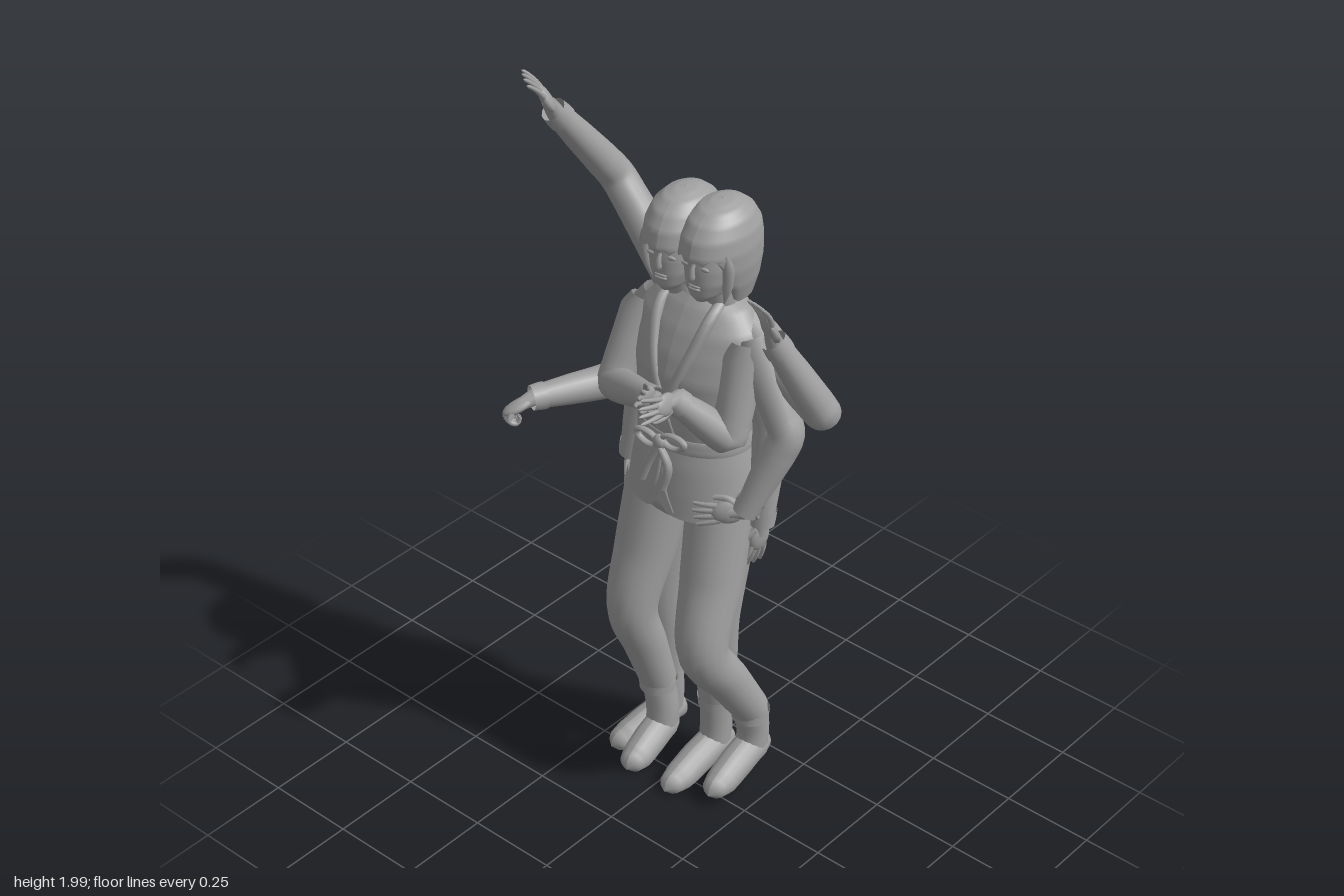
import * as THREE from 'three';

const V = (a) => new THREE.Vector3(a[0], a[1], a[2]);
const grey = new THREE.MeshStandardMaterial({ color: 0xa0a0a0, side: THREE.DoubleSide });
grey.name = 'plain grey';

function add(parent, geo, name) {
  const m = new THREE.Mesh(geo, grey);
  m.name = name;
  parent.add(m);
  return m;
}
const lerpList = (list, t) => {
  const f = Math.min(Math.max(t, 0), 1) * (list.length - 1);
  const i = Math.min(Math.floor(f), list.length - 2);
  return THREE.MathUtils.lerp(list[i], list[i + 1], f - i);
};

// Tube of changing radius; each point is [x, y, z, radius]
function limbGeo(pts, segs = 24, sides = 14, floor = null) {
  const curve = new THREE.CatmullRomCurve3(pts.map(V), false, 'centripetal');
  const geo = new THREE.TubeGeometry(curve, segs, 1, sides, false);
  const radii = pts.map((p) => p[3]);
  const pos = geo.attributes.position;
  const v = new THREE.Vector3();
  for (let i = 0; i <= segs; i++) {
    const c = curve.getPointAt(i / segs);
    const r = lerpList(radii, curve.getUtoTmapping(i / segs));
    for (let j = 0; j <= sides; j++) {
      const k = i * (sides + 1) + j;
      v.fromBufferAttribute(pos, k).sub(c).multiplyScalar(r).add(c);
      pos.setXYZ(k, v.x, floor === null ? v.y : Math.max(v.y, floor), v.z);
    }
  }
  if (floor !== null) geo.computeVertexNormals();
  return geo;
}

// Stack of horizontal ellipses; each ring is [y, centreX, centreZ, radiusX, radiusZ]
function stackGeo(rings, rows = 28, rule = null) {
  const geo = new THREE.CylinderGeometry(1, 1, 1, 36, rows, true);
  const pos = geo.attributes.position;
  for (let i = 0; i < pos.count; i++) {
    const t = 0.5 - pos.getY(i);
    const [y, cx, cz, rx, rz] = [0, 1, 2, 3, 4].map((k) => lerpList(rings.map((r) => r[k]), t));
    const v = new THREE.Vector3(cx + pos.getX(i) * rx, y, cz + pos.getZ(i) * rz);
    if (rule) rule(v, t, pos.getX(i), pos.getZ(i));
    pos.setXYZ(i, v.x, v.y, v.z);
  }
  geo.computeVertexNormals();
  return geo;
}

// Hand: +y runs along the fingers, +z is the back of the hand
function hand(parent, wrist, tip, back, thumb, curl = 0.15) {
  const g = new THREE.Group();
  g.name = 'hand';
  const y = V(tip).sub(V(wrist)).normalize();
  const x = new THREE.Vector3().crossVectors(y, V(back)).normalize();
  const z = new THREE.Vector3().crossVectors(x, y);
  g.setRotationFromMatrix(new THREE.Matrix4().makeBasis(x, y, z));
  g.position.copy(V(wrist));
  add(g, new THREE.SphereGeometry(1, 14, 10).scale(0.03, 0.043, 0.014).translate(0, 0.045, 0), 'palm');
  add(g, limbGeo([[0, -0.03, 0, 0.024], [0, 0, 0, 0.022], [0, 0.04, 0, 0.016]], 6, 10), 'wrist');
  const finger = (pts) => add(g, limbGeo(pts, 10, 7), 'finger');
  for (let i = 0; i < 4; i++) {
    const k = i - 1.5;
    const len = 0.074 - Math.abs(k) * 0.006;
    const p = [[k * 0.013, 0.068, 0, 0.008]];
    let a = curl * 0.5;
    for (let s = 1; s <= 3; s++) {
      const q = p[s - 1];
      p.push([q[0] + k * 0.0022, q[1] + Math.cos(a) * len / 3, q[2] - Math.sin(a) * len / 3, 0.008 - s * 0.0012]);
      a += curl;
    }
    const e = p[3];
    p.push([e[0], e[1] + Math.cos(a) * 0.004, e[2] - Math.sin(a) * 0.004, 0.0005]);
    finger(p);
  }
  const bend = curl > 1 ? -0.022 : 0;
  finger([[thumb * 0.018, 0.02, 0, 0.011], [thumb * 0.034, 0.045, -0.008, 0.009],
    [thumb * (0.038 + bend), 0.075, -0.014 + bend, 0.007], [thumb * (0.038 + bend * 1.4), 0.082, -0.015 + bend, 0.0005]]);
  parent.add(g);
}

// Sleeve with a softly bent elbow and turned cuff, ending in a hand
function arm(parent, name, s, e, w, tip, back, thumb, curl) {
  const g = new THREE.Group();
  g.name = name;
  const at = (a, b, t, r) => [...V(a).lerp(V(b), t).toArray(), r];
  const bend = V(e).lerp(V(s).add(V(w)).multiplyScalar(0.5), 0.05).toArray();
  add(g, limbGeo([[...s, 0.042], at(s, e, 0.15, 0.056), at(s, e, 0.5, 0.051), at(s, e, 0.8, 0.047),
    [...bend, 0.046], at(e, w, 0.22, 0.045), at(e, w, 0.6, 0.039), [...w, 0.03]], 40, 16), 'sleeve');
  add(g, limbGeo([at(e, w, 0.87, 0.036), at(e, w, 0.93, 0.036), at(e, w, 1.02, 0.033)], 4, 16), 'cuff');
  hand(g, w, tip, back, thumb, curl);
  parent.add(g);
}

function leg(parent, name, hip, knee, ankle, heel, toe, lift) {
  const g = new THREE.Group();
  g.name = name;
  const mid = (a, b, r) => [...V(a).lerp(V(b), 0.5).toArray(), r];
  add(g, limbGeo([[...hip, 0.09], mid(hip, knee, 0.083), [...knee, 0.067], mid(knee, ankle, 0.059), [...ankle, 0.05]], 30, 18), 'trouserLeg');
  add(g, limbGeo([[...ankle, 0.053], [ankle[0], ankle[1] - 0.03, ankle[2], 0.05]], 3, 18), 'trouserCuff');
  // soft boot, toes tapering to the floor
  const f = (t, y, r) => [heel[0] + (toe[0] - heel[0]) * t, lift + y, heel[1] + (toe[1] - heel[1]) * t, r];
  add(g, limbGeo([[...ankle, 0.046], f(0.22, 0.11, 0.045), f(0.25, 0.04, 0.043)], 10, 14), 'ankle');
  add(g, limbGeo([f(0, 0.035, 0.001), f(0.04, 0.035, 0.028), f(0.2, 0.05, 0.045), f(0.5, 0.038, 0.046),
    f(0.78, 0.018, 0.043), f(0.94, 0.014, 0.03), f(1, 0.01, 0.001)], 24, 14, lift), 'foot');
  parent.add(g);
}

function head(parent, name, x, z, turn) {
  const g = new THREE.Group();
  g.name = name;
  g.position.set(x, 1.6, z);
  g.rotation.y = turn;
  add(g, stackGeo([[0.09, 0, 0.0, 0.06, 0.08], [0.04, 0, 0.015, 0.066, 0.086], [-0.01, 0, 0.022, 0.066, 0.083],
    [-0.05, 0, 0.028, 0.06, 0.075], [-0.085, 0, 0.043, 0.042, 0.055], [-0.103, 0, 0.055, 0.02, 0.03],
    [-0.107, 0, 0.055, 0.001, 0.001]]), 'face');
  // bobbed hair: rounded crown, long at the back and sides, lifted to a fringe in front
  const bob = [[0.139, 0, -0.014, 0.001, 0.001], [0.136, 0, -0.014, 0.026, 0.036], [0.126, 0, -0.012, 0.05, 0.066],
    [0.104, 0, -0.01, 0.072, 0.096], [0.07, 0, -0.008, 0.086, 0.119], [0.03, 0, -0.006, 0.091, 0.128],
    [-0.02, 0, -0.01, 0.089, 0.124], [-0.07, 0, -0.016, 0.081, 0.108], [-0.12, 0, -0.024, 0.066, 0.08]];
  add(g, stackGeo(bob, 40, (v, t, cx, cz) => {
    const front = THREE.MathUtils.smoothstep(cz, 0.45, 0.72);
    const edge = 0.024 + 0.008 * Math.sin(cx * 14);
    if (v.y < edge && front > 0) {
      v.y = THREE.MathUtils.lerp(v.y, edge, front);
      v.z = THREE.MathUtils.lerp(v.z, -0.006 + cz * 0.126, front);
      v.x = THREE.MathUtils.lerp(v.x, cx * 0.09, front);
    }
  }), 'hair');
  for (const s of [-1, 1]) {
    add(g, limbGeo([[s * 0.066, 0.04, 0.066, 0.008], [s * 0.071, 0, 0.06, 0.015], [s * 0.064, -0.06, 0.054, 0.013],
      [s * 0.05, -0.11, 0.046, 0.002]], 14, 8), 'sideLock');
    add(g, new THREE.SphereGeometry(1, 12, 8).scale(0.014, 0.006, 0.005).translate(s * 0.027, 0.0, 0.097), 'eye');
  }
  add(g, limbGeo([[0, 0.01, 0.102, 0.005], [0, -0.008, 0.11, 0.007], [0, -0.024, 0.111, 0.01], [0, -0.03, 0.102, 0.003]], 10, 8), 'nose');
  for (const y of [-0.052, -0.06]) {
    add(g, new THREE.SphereGeometry(1, 12, 8).scale(0.018, 0.005, 0.006).translate(0, y, 0.1), 'lip');
  }
  add(g, stackGeo([[-0.07, 0, 0, 0.043, 0.045], [-0.18, 0, -0.015, 0.047, 0.047]], 4), 'neck');
  parent.add(g);
}

export function createModel() {
  const model = new THREE.Group();
  model.name = 'twinFigure';

  head(model, 'rightHead', -0.05, -0.092, 0.16);
  head(model, 'leftHead', 0.053, -0.106, 0.08);

  // Wrapped jacket, bloused over the belt, skirt lower at the back and parted in front
  const jacket = [[1.475, 0, -0.11, 0.075, 0.05], [1.45, 0, -0.118, 0.13, 0.078], [1.4, 0, -0.11, 0.175, 0.1],
    [1.34, 0, -0.1, 0.175, 0.117], [1.28, 0, -0.09, 0.172, 0.125], [1.22, 0, -0.088, 0.166, 0.123],
    [1.15, 0, -0.09, 0.162, 0.124], [1.09, 0, -0.088, 0.156, 0.118], [1.03, 0, -0.088, 0.168, 0.132],
    [0.96, 0, -0.09, 0.182, 0.143], [0.893, 0, -0.09, 0.192, 0.15]];
  add(model, stackGeo(jacket, 40, (v, t, cx, cz) => {
    const low = Math.max(0, t - 0.8) / 0.2;
    v.y -= low * 0.012 * (1 - cz);
    if (cz > 0.3) v.y += low * 0.035 * Math.max(0, 1 - Math.abs(cx) * 5);
  }), 'jacket');
  add(model, stackGeo([[0.97, 0, -0.09, 0.17, 0.13], [0.9, 0, -0.09, 0.18, 0.132], [0.87, 0, -0.09, 0.172, 0.12],
    [0.85, 0, -0.09, 0.12, 0.09], [0.845, 0, -0.09, 0.01, 0.01]], 12), 'hips');
  for (const s of [-1, 1]) {
    add(model, limbGeo([[s * 0.07, 1.48, -0.12, 0.014], [s * 0.078, 1.44, -0.045, 0.016], [s * 0.06, 1.36, 0.0, 0.015],
      [s * 0.025, 1.26, 0.03, 0.013], [-s * 0.025, 1.12, 0.026, 0.008]], 22, 8), 'lapel');
    add(model, limbGeo([[s * 0.005, 1.06, 0.036, 0.006], [s * 0.012, 0.98, 0.049, 0.006], [s * 0.045, 0.905, 0.052, 0.004]], 10, 6), 'skirtEdge');
  }

  // Belt, knot, bow loops and hanging ends
  add(model, stackGeo([[1.115, 0, -0.088, 0.152, 0.112], [1.113, 0, -0.088, 0.161, 0.123],
    [1.075, 0, -0.088, 0.164, 0.127], [1.073, 0, -0.088, 0.155, 0.115]], 9), 'belt');
  add(model, new THREE.SphereGeometry(1, 12, 8).scale(0.02, 0.022, 0.016).translate(-0.005, 1.095, 0.046), 'beltKnot');
  for (const s of [-1, 1]) {
    add(model, new THREE.TorusGeometry(0.03, 0.009, 6, 18).scale(1.2, 0.6, 1).rotateZ(s * 0.15)
      .translate(-0.005 + s * 0.042, 1.1 + s * 0.01, 0.044), 'beltBow');
    add(model, limbGeo([[-0.005, 1.09, 0.05, 0.01], [s * 0.03, 1.04, 0.055, 0.012],
      [s * 0.035 - 0.02, 0.97, 0.058, 0.011]], 10, 6), 'beltEnd');
  }

  // Four pairs of arms
  arm(model, 'rightRaisedArm', [-0.1, 1.4, -0.155], [-0.315, 1.655, -0.15], [-0.37, 1.875, 0.01], [-0.385, 2.0, 0.08], [0.6, 0.3, -0.75], 1);
  arm(model, 'rightFistArm', [-0.15, 1.4, -0.12], [-0.235, 1.13, -0.07], [-0.345, 1.125, 0.14], [-0.375, 1.1, 0.2], [-0.3, 0.9, 0.1], 1, 1.6);
  arm(model, 'rightHangingArm', [-0.15, 1.4, -0.12], [-0.2, 1.15, -0.13], [-0.235, 0.885, -0.105], [-0.23, 0.74, -0.09], [-1, 0, 0.2], -1);
  arm(model, 'rightFoldedArm', [-0.165, 1.39, -0.09], [-0.19, 1.175, 0.01], [0.025, 1.265, 0.107], [0.07, 1.37, 0.235], [-0.9, 0.2, 0.2], 1);
  arm(model, 'leftRaisedArm', [0.11, 1.4, -0.145], [0.38, 1.25, -0.125], [0.29, 1.475, -0.03], [0.28, 1.61, 0.015], [0.2, 0.3, -0.9], -1);
  arm(model, 'leftHipArm', [0.16, 1.4, -0.11], [0.285, 1.17, -0.1], [0.22, 0.955, -0.02], [0.1, 0.925, 0.06], [0.4, 0.2, 0.9], 1);
  arm(model, 'leftHangingArm', [0.15, 1.4, -0.12], [0.2, 1.15, -0.14], [0.2, 0.865, -0.11], [0.19, 0.72, -0.09], [1, 0, 0.2], 1);
  arm(model, 'leftFoldedArm', [0.155, 1.39, -0.09], [0.165, 1.145, -0.02], [0.075, 1.27, 0.08], [0.1, 1.31, 0.23], [0.9, 0.2, 0], -1);

  // Two pairs of legs
  leg(model, 'rightStraightLeg', [-0.1, 0.9, -0.1], [-0.13, 0.5, -0.095], [-0.145, 0.21, -0.135], [-0.135, -0.2], [-0.185, 0.045], 0);
  leg(model, 'rightBentLeg', [-0.1, 0.9, -0.07], [-0.13, 0.5, 0.015], [-0.125, 0.21, -0.08], [-0.12, -0.135], [-0.09, 0.09], 0);
  leg(model, 'leftStraightLeg', [0.08, 0.9, -0.1], [0.055, 0.5, -0.1], [0.04, 0.21, -0.13], [0.04, -0.19], [0.045, 0.09], 0);
  leg(model, 'leftBentLeg', [0.1, 0.9, -0.07], [0.13, 0.5, 0.035], [0.145, 0.21, -0.145], [0.14, -0.215], [0.165, 0.05], 0.025);
  return model;
}
